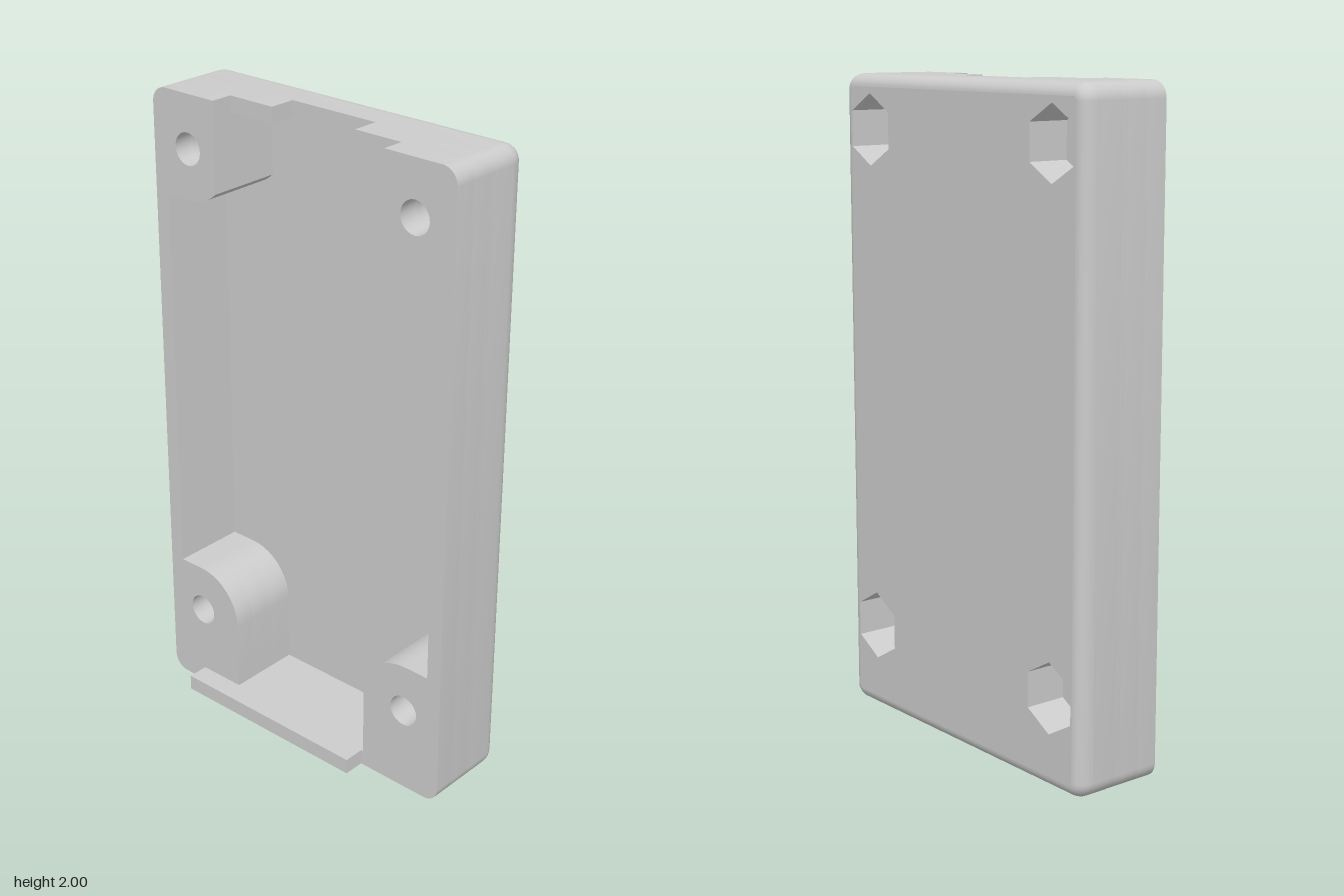
import * as THREE from 'three';
import { toCreasedNormals } from 'three/addons/utils/BufferGeometryUtils.js';

const HW = 0.56, H = 2, R = 0.05, WALL = 0.05;   // half width, height, edge radius, wall
const BACK = -0.178, FLOOR = -0.13, POCKET = -0.045, FRONT = 0.11;
const CX = 0.423, LOW = 0.275, HIGH = 1.835, BOSS = 0.156, NECK = 0.315;
const V = (x, y) => new THREE.Vector2(x, y);

// points on an arc, angles in radians
function arc(cx, cy, r, a0, a1, n = 8) {
  return Array.from({ length: n + 1 }, (_, i) => {
    const a = a0 + (a1 - a0) * i / n;
    return V(cx + r * Math.cos(a), cy + r * Math.sin(a));
  });
}

// rounded outer outline, clockwise from the top right corner
function outline(inset = 0) {
  const q = Math.PI / 2, x = HW - R, r = R - inset;
  return [
    ...arc(x, H - R, r, q, 0), ...arc(x, R, r, 0, -q),
    ...arc(-x, R, r, -q, -2 * q), ...arc(-x, H - R, r, 2 * q, q),
  ];
}

// inner cavity around the four screw bosses, from top left round to top right
function cavity() {
  const q = Math.PI / 2, start = -Math.acos((CX - NECK) / BOSS);
  const left = [
    V(-NECK, H - WALL),
    ...arc(-CX, HIGH, BOSS, start, -q),
    V(WALL - HW, HIGH - BOSS), V(WALL - HW, LOW + BOSS),
    ...arc(-CX, LOW, BOSS, q, 0, 10),
    V(BOSS - CX, WALL),
  ];
  return [...left, ...left.map(p => V(-p.x, p.y)).reverse()];
}

// wall outline whose top is open over the half width n
function openWall(n) {
  const sides = n < NECK;
  return new THREE.Shape([
    V(n, H), ...outline(), V(-n, H),
    ...(sides ? [V(-n, H - WALL)] : []),
    ...cavity(),
    ...(sides ? [V(n, H - WALL)] : []),
  ]);
}

// a polygon hole at each screw position
function screwHoles(shape, r, sides) {
  for (const x of [-CX, CX]) for (const y of [LOW, HIGH]) {
    const a = Math.PI / 2;
    shape.holes.push(new THREE.Path(arc(x, y, r, a, a + 2 * Math.PI, sides).slice(0, -1)));
  }
  return shape;
}

// rounded band joining the side walls to the back face
function edgeBand(inset) {
  const steps = 8, pos = [], index = [];
  let n = 0;
  for (let j = 0; j <= steps; j++) {
    const a = j / steps * Math.PI / 2;
    const ring = outline(inset * (1 - Math.cos(a)));
    n = ring.length;
    for (const p of ring) pos.push(p.x, p.y, FLOOR + (BACK - FLOOR) * Math.sin(a));
  }
  for (let j = 0; j < steps; j++) for (let k = 0; k < n; k++) {
    const a = j * n + k, b = j * n + (k + 1) % n;
    index.push(a, b, a + n, b, b + n, a + n);
  }
  const g = new THREE.BufferGeometry();
  g.setAttribute('position', new THREE.Float32BufferAttribute(pos, 3));
  g.setIndex(index);
  g.computeVertexNormals();
  return g;
}

export function createModel() {
  const model = new THREE.Group();
  model.name = 'enclosureHalf';
  const material = new THREE.MeshStandardMaterial({ color: 0xcccccc });

  const add = (name, geometry) => {
    const mesh = new THREE.Mesh(geometry, material);
    mesh.name = name;
    model.add(mesh);
    return mesh;
  };
  const layer = (name, shape, z0, z1) => {
    const g = new THREE.ExtrudeGeometry(shape, { depth: z1 - z0, bevelEnabled: false });
    g.translate(0, 0, z0);
    return add(name, toCreasedNormals(g, 0.6));
  };

  // back plate with hexagonal nut pockets and its rounded rim
  const inset = 0.038;
  layer('backPlate', screwHoles(new THREE.Shape(outline(inset)), 0.108, 6), BACK, FLOOR);
  add('roundedBackEdge', edgeBand(inset));

  // closed wall around the cavity, nut pockets run through the bosses
  const lower = new THREE.Shape(outline());
  lower.holes.push(new THREE.Path(cavity()));
  layer('lowerWall', screwHoles(lower, 0.108, 6), FLOOR, POCKET);

  // thin web between nut pockets and screw holes, narrow slot in the top wall
  layer('pocketWeb', openWall(0.153), POCKET, -0.03);
  layer('middleWall', screwHoles(openWall(0.153), 0.05, 24), -0.03, 0.04);

  // front of the wall, wide slot in the top
  layer('frontWall', screwHoles(openWall(NECK), 0.05, 24), 0.04, FRONT);

  // locating lip along the bottom edge
  const lip = add('bottomLip', new THREE.BoxGeometry(0.683, WALL, 0.068));
  lip.position.set(-0.0815, WALL / 2, FRONT + 0.034);

  return model;
}
